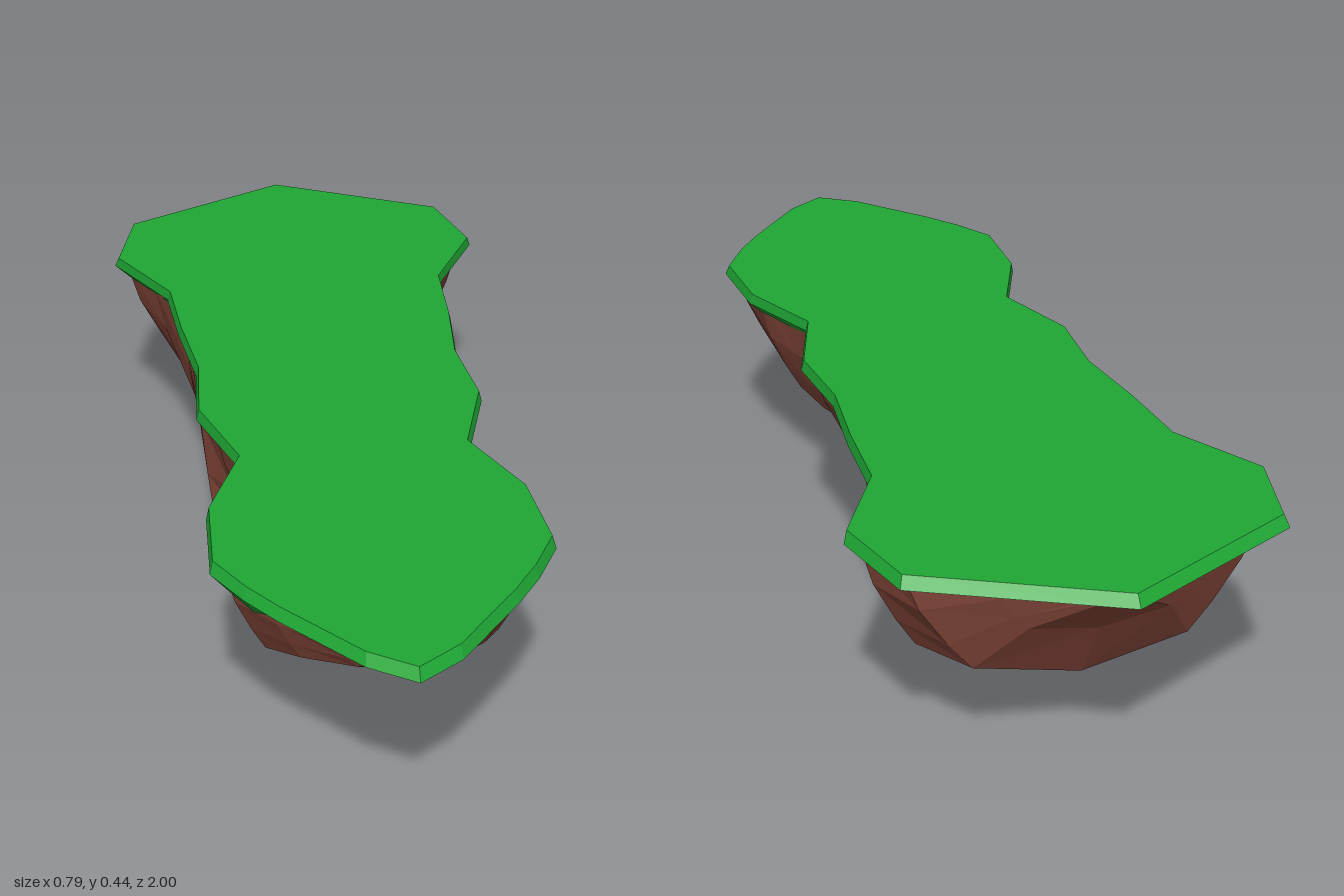
import * as THREE from 'three';

// Skins a row of cross-sections (front to back), each running from -x under to +x.
function loft(name, sections, color, closed) {
  const n = sections[0].length;
  const index = [];
  for (let s = 0; s < sections.length - 1; s++) {
    for (let i = 0; i < (closed ? n : n - 1); i++) {
      const j = (i + 1) % n;
      const a = s * n, b = a + n;
      index.push(a + i, b + i, a + j, a + j, b + i, b + j);
    }
  }
  const geometry = new THREE.BufferGeometry();
  geometry.setAttribute('position', new THREE.Float32BufferAttribute(sections.flat(2), 3));
  geometry.setIndex(index);
  geometry.computeVertexNormals();
  const mesh = new THREE.Mesh(geometry, new THREE.MeshStandardMaterial({ color, flatShading: true }));
  mesh.name = name;
  return mesh;
}

// Island outline: z, half width, height of the turf's lower edge
const outline = [
  [0.995, 0, 0.4], [0.94, 0.08, 0.4], [0.79, 0.205, 0.4], [0.72, 0.255, 0.377], [0.63, 0.305, 0.405],
  [0.45, 0.295, 0.4], [0.27, 0.22, 0.4], [0.08, 0.28, 0.4], [-0.1, 0.265, 0.4], [-0.28, 0.285, 0.4],
  [-0.455, 0.295, 0.4], [-0.64, 0.395, 0.4], [-0.82, 0.35, 0.395], [-1, 0, 0.395],
];

// The turf's lower edge tucks in at the sides and at both tips
function grassSection([z, w, low]) {
  const top = [w * 0.98, 0.44, z * 0.985];
  const rim = [w, 0.418, z];
  const under = [w * 0.93, low, z - 0.07 * z ** 3];
  const left = [top, rim, under].map(([x, y, d]) => [-x, y, d]);
  return [...left, under, rim, top];
}

// Rock: z, rim half width, then x, y of the left shoulder, the keel and the right shoulder
const rock = [
  [0.935, 0, 0, 0.41, 0, 0.41, 0, 0.41],
  [0.84, 0.125, -0.08, 0.35, 0, 0.335, 0.08, 0.35],
  [0.73, 0.215, -0.16, 0.3, 0, 0.28, 0.16, 0.3],
  [0.62, 0.28, -0.21, 0.25, 0, 0.23, 0.21, 0.25],
  [0.45, 0.275, -0.19, 0.21, 0, 0.145, 0.19, 0.21],
  [0.37, 0.245, -0.16, 0.2, 0, 0.108, 0.16, 0.19],
  [0.25, 0.21, -0.14, 0.23, 0, 0.143, 0.13, 0.2],
  [0.12, 0.25, -0.17, 0.2, 0, 0.125, 0.15, 0.19],
  [-0.04, 0.25, -0.18, 0.165, -0.05, 0.14, 0.09, 0.175],
  [-0.1, 0.25, -0.17, 0.06, -0.065, 0.025, 0, 0.05],
  [-0.2, 0.26, -0.23, 0.037, -0.065, 0, 0, 0.012],
  [-0.28, 0.265, -0.22, 0.06, -0.04, 0.05, 0.12, 0.16],
  [-0.36, 0.275, -0.22, 0.13, 0, 0.11, 0.225, 0.127],
  [-0.53, 0.32, -0.23, 0.16, 0.07, 0.07, 0.225, 0.16],
  [-0.64, 0.37, -0.27, 0.2, 0, 0.172, 0.27, 0.2],
  [-0.75, 0.33, -0.2, 0.2, 0, 0.157, 0.2, 0.2],
  [-0.83, 0.2, -0.13, 0.31, 0, 0.29, 0.13, 0.31],
  [-0.93, 0, 0, 0.405, 0, 0.405, 0, 0.405],
];

// The rock's rim sits inside the turf
const rimY = 0.42;

function rockSection([z, w, lx, ly, kx, ky, rx, ry]) {
  // Flank points bulge outward between the rim and a shoulder
  const flank = (rim, x, y, t) => [rim + (x - rim) * t ** 1.5, rimY + (y - rimY) * t, z];
  return [
    [-w, rimY, z], flank(-w, lx, ly, 0.4), flank(-w, lx, ly, 0.75), [lx, ly, z],
    [kx, ky, z],
    [rx, ry, z], flank(w, rx, ry, 0.75), flank(w, rx, ry, 0.4), [w, rimY, z],
  ];
}

export function createModel() {
  const island = new THREE.Group();
  island.name = 'floatingIsland';
  island.add(loft('grassTop', outline.map(grassSection), 0x1fa835, true));
  island.add(loft('rockUnderside', rock.map(rockSection), 0x8a4a3d, false));
  return island;
}
